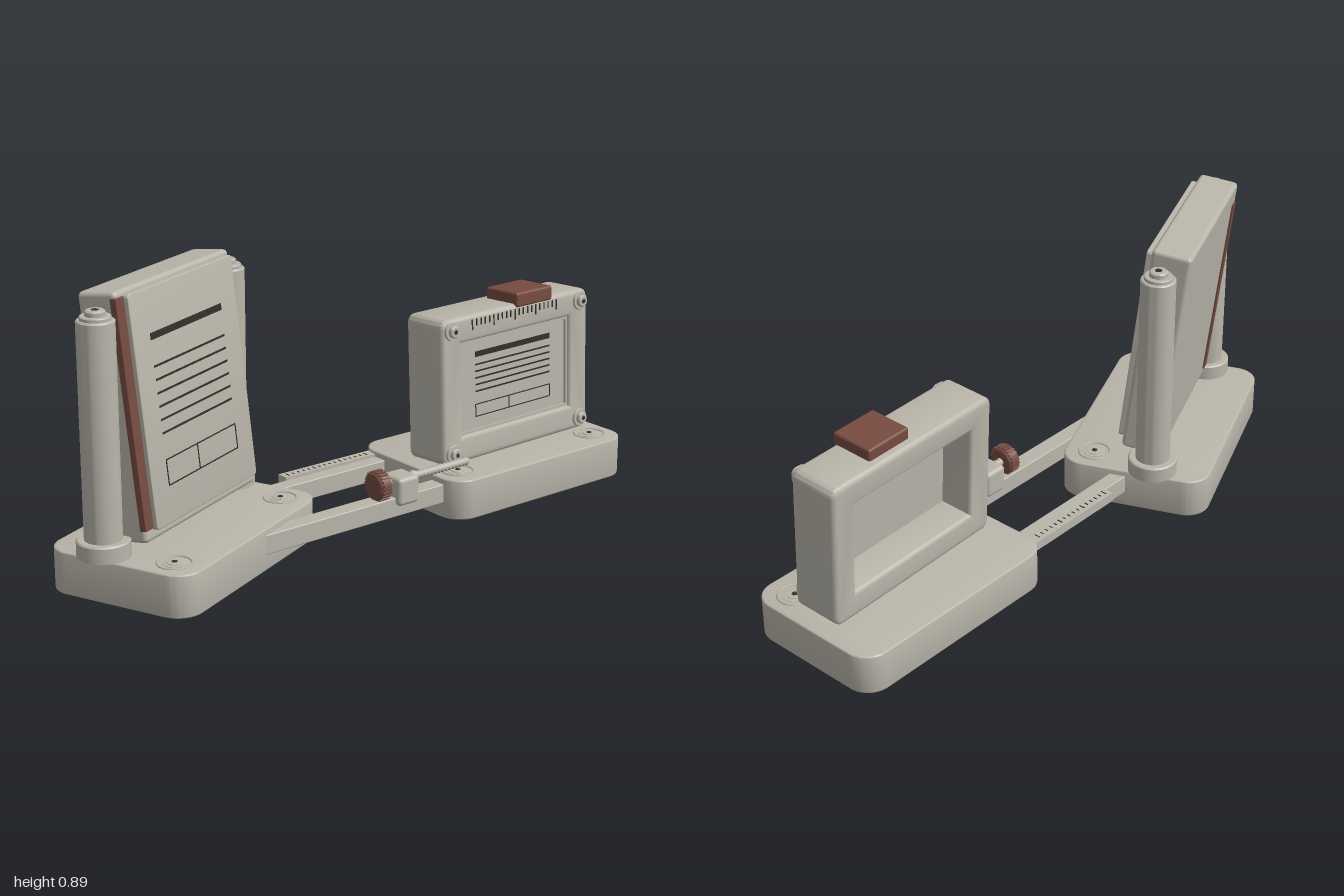
import * as THREE from 'three';
import { toCreasedNormals } from 'three/addons/utils/BufferGeometryUtils.js';
import { RoundedBoxGeometry } from 'three/addons/geometries/RoundedBoxGeometry.js';

const material = (name, color) => {
  const m = new THREE.MeshStandardMaterial({ color });
  m.name = name;
  return m;
};
const grey = material('warm grey', 0xb9b5aa);
const red = material('rust brown', 0x764b40);
const dark = material('dark ink', 0x332f2a);

function add(parent, name, geometry, mat, x = 0, y = 0, z = 0) {
  const mesh = new THREE.Mesh(geometry, mat);
  mesh.name = name;
  mesh.position.set(x, y, z);
  parent.add(mesh);
  return mesh;
}

function group(parent, name, x = 0, y = 0, z = 0) {
  const g = new THREE.Group();
  g.name = name;
  g.position.set(x, y, z);
  parent.add(g);
  return g;
}

const box = (w, h, d) => new THREE.BoxGeometry(w, h, d);
const round = (w, h, d, r) => new RoundedBoxGeometry(w, h, d, 3, r);
const cyl = (r, h, n = 32) => new THREE.CylinderGeometry(r, r, h, n);
// Profile points run from the bottom up
const lathe = (pts, n = 32) =>
  toCreasedNormals(new THREE.LatheGeometry(pts.map(p => new THREE.Vector2(...p)), n), 0.5);

function roundRect(w, h, r, Type = THREE.Shape) {
  const s = new Type(), x = w / 2, y = h / 2;
  s.moveTo(-x + r, -y);
  s.lineTo(x - r, -y);
  s.absarc(x - r, -y + r, r, -Math.PI / 2, 0);
  s.lineTo(x, y - r);
  s.absarc(x - r, y - r, r, 0, Math.PI / 2);
  s.lineTo(-x + r, y);
  s.absarc(-x + r, y - r, r, Math.PI / 2, Math.PI);
  s.lineTo(-x, -y + r);
  s.absarc(-x + r, -y + r, r, Math.PI, Math.PI * 1.5);
  return s;
}

// Rounded slab along z, centred, with bevelled edges and an optional opening
function slab(w, h, d, r, bevel, hole) {
  const shape = roundRect(w - 2 * bevel, h - 2 * bevel, r);
  if (hole) shape.holes.push(roundRect(hole[0], hole[1], 0.006, THREE.Path));
  const g = new THREE.ExtrudeGeometry(shape, {
    depth: d - 2 * bevel, bevelSize: bevel, bevelThickness: bevel, bevelSegments: 3, curveSegments: 10,
  });
  g.translate(0, 0, -d / 2 + bevel);
  return toCreasedNormals(g, 0.6);
}

// Washer, raised head and dark hexagonal socket, standing on +y
function screw(parent, x, y, z, r, h) {
  const g = group(parent, 'screw', x, y, z);
  add(g, 'screwHead', lathe([[r, 0], [r, h * 0.3], [r * 0.95, h * 0.4], [r * 0.65, h * 0.4],
    [r * 0.65, h * 0.85], [r * 0.55, h], [0, h]], 24), grey);
  add(g, 'screwSocket', cyl(r * 0.26, 0.002, 6), dark, 0, h, 0);
  return g;
}

// Heading bar, rows and an outlined box as thin plates
function printedSheet(parent, x, z, w, headY, headH, rows, t, boxTop, boxH) {
  const g = group(parent, 'printedSheet', x, 0, z);
  const plate = (name, px, py, pw, ph) => add(g, name, box(pw, ph, 0.004), dark, px, py, 0);
  plate('headingBar', 0, headY, w, headH);
  rows.forEach(y => plate('printedRow', 0, y, w, t));
  for (const y of [boxTop, boxTop - boxH]) plate('boxEdge', 0, y, w, t * 0.6);
  for (const px of [-w / 2, -w * 0.06, w / 2]) plate('boxDivider', px, boxTop - boxH / 2, t * 0.6, boxH);
}

function base(parent) {
  const b = add(parent, 'base', slab(0.757, 0.485, 0.13, 0.07, 0.005), grey, 0, 0.065, 0);
  b.rotation.x = -Math.PI / 2;
  for (const s of [-1, 1]) {
    const ring = add(parent, 'screwRecess', new THREE.TorusGeometry(0.05, 0.004, 6, 32), grey, s * 0.293, 0.13, 0.147);
    ring.rotation.x = -Math.PI / 2;
    screw(parent, s * 0.293, 0.13, 0.147, 0.036, 0.004);
  }
}

function tallStation(root) {
  const st = group(root, 'tallStation', -0.583, 0, 0);
  st.rotation.y = 0.4;
  base(st);

  // Posts with flanges and capped tops
  for (const s of [-1, 1]) {
    add(st, 'post', lathe([[0.078, 0.13], [0.078, 0.176], [0.074, 0.18], [0.055, 0.18], [0.055, 0.814],
      [0.051, 0.818], [0, 0.818]], 40), grey, s * 0.338, 0, -0.06);
    screw(st, s * 0.338, 0.818, -0.06, 0.045, 0.027);
  }

  // Panel leaning back between the posts
  const p = group(st, 'leaningPanel', 0, 0.52, -0.045);
  p.rotation.x = -0.115;
  add(p, 'panelBody', round(0.59, 0.725, 0.128, 0.014), grey, 0, 0, -0.002);
  add(p, 'panelCover', slab(0.54, 0.68, 0.024, 0.008, 0.003), grey, 0.01, 0.008, 0.068);

  // Coloured edge strips on the front and the back
  add(p, 'frontEdgeStrip', round(0.04, 0.67, 0.022, 0.003), red, -0.277, 0.01, 0.055);
  add(p, 'backEdgeStrip', box(0.036, 0.63, 0.008), red, -0.26, -0.015, -0.067);
  const rows = Array.from({ length: 6 }, (_, i) => 0.124 - i * 0.0388);
  printedSheet(p, 0.006, 0.0795, 0.37, 0.21, 0.02, rows, 0.006, -0.148, 0.075);
}

function displayStation(root) {
  const st = group(root, 'displayStation', 0.62, 0, 0.03);
  base(st);
  const d = group(st, 'displayUnit', -0.002, 0.372, 0.018);
  d.rotation.set(-0.045, 0.037, 0, 'YXZ');
  const frame = [0.492, 0.305];

  // Deep open-backed housing with an inset face
  add(d, 'housing', slab(0.66, 0.475, 0.165, 0.014, 0.014, [frame[0] + 0.028, frame[1] + 0.028]), grey);
  add(d, 'screenPlate', box(0.516, 0.33, 0.03), grey, 0, 0, 0.047);
  const win = roundRect(0.494, 0.307, 0.006);
  win.holes.push(roundRect(0.476, 0.289, 0.004, THREE.Path));
  add(d, 'screenBezel', new THREE.ExtrudeGeometry(win, { depth: 0.01, bevelEnabled: false }), grey, 0, 0, 0.06);
  printedSheet(d, 0, 0.0615, 0.34, 0.1, 0.018, [0.066, 0.044, 0.022, 0, -0.022], 0.005, -0.065, 0.04);

  // Scale marks along the top of the housing
  for (let i = 0; i < 21; i++) {
    const h = i % 5 ? 0.022 : 0.034;
    add(d, 'scaleMark', box(0.005, h, 0.004), dark, -0.2 + i * 0.019, 0.222 - h / 2, 0.082);
  }
  for (const x of [-1, 1]) for (const y of [-1, 1])
    screw(d, x * 0.29, y * 0.2, 0.081, 0.03, 0.022).rotation.x = Math.PI / 2;
  add(d, 'topClip', round(0.162, 0.048, 0.142, 0.008), red, 0.075, 0.25, 0.018);
}

function linkage(root) {
  // Two rails tie the bases together
  const g = group(root, 'linkage');
  add(g, 'frontRail', round(0.8, 0.062, 0.058, 0.004), grey, -0.1, 0.08, 0.177);
  add(g, 'rearRail', round(0.68, 0.062, 0.05, 0.004), grey, -0.01, 0.08, -0.106);
  add(g, 'scalePlate', box(0.4, 0.03, 0.04), grey, 0.08, 0.105, -0.15);
  for (let i = 0; i < 16; i++)
    add(g, 'railMark', box(0.003, 0.002, i % 5 ? 0.012 : 0.02), dark, -0.1 + i * 0.021, 0.1205, -0.148);

  // Threaded adjuster along x with its guide block and ribbed knob
  const a = group(g, 'adjuster', 0, 0.156, 0.18);
  const thread = [[0, 0]];
  for (let i = 0; i <= 50; i++) thread.push([i % 2 ? 0.014 : 0.0095, 0.004 + i * 0.0072]);
  thread.push([0, 0.38]);
  const rod = add(a, 'threadedRod', new THREE.LatheGeometry(thread.map(q => new THREE.Vector2(...q)), 16), grey);
  rod.rotation.z = -Math.PI / 2;
  add(a, 'guideBlock', round(0.082, 0.09, 0.09, 0.014), grey, 0.088, -0.026, 0);
  add(a, 'blockCollar', cyl(0.018, 0.02, 24), grey, 0.134, 0, 0).rotation.z = Math.PI / 2;
  const knob = group(a, 'knob');
  knob.rotation.z = Math.PI / 2;
  add(knob, 'knobCore', lathe([[0, -0.022], [0.038, -0.022], [0.045, -0.015], [0.045, 0.015],
    [0.038, 0.022], [0, 0.022]]), red);
  for (let i = 0; i < 24; i++) {
    const t = i / 24 * Math.PI * 2;
    const rib = add(knob, 'knobRib', box(0.007, 0.03, 0.006), red, 0.0455 * Math.cos(t), 0, 0.0455 * Math.sin(t));
    rib.rotation.y = -t;
  }
}

export function createModel() {
  const root = new THREE.Group();
  root.name = 'linkedDisplayStands';
  tallStation(root);
  displayStation(root);
  linkage(root);
  return root;
}
